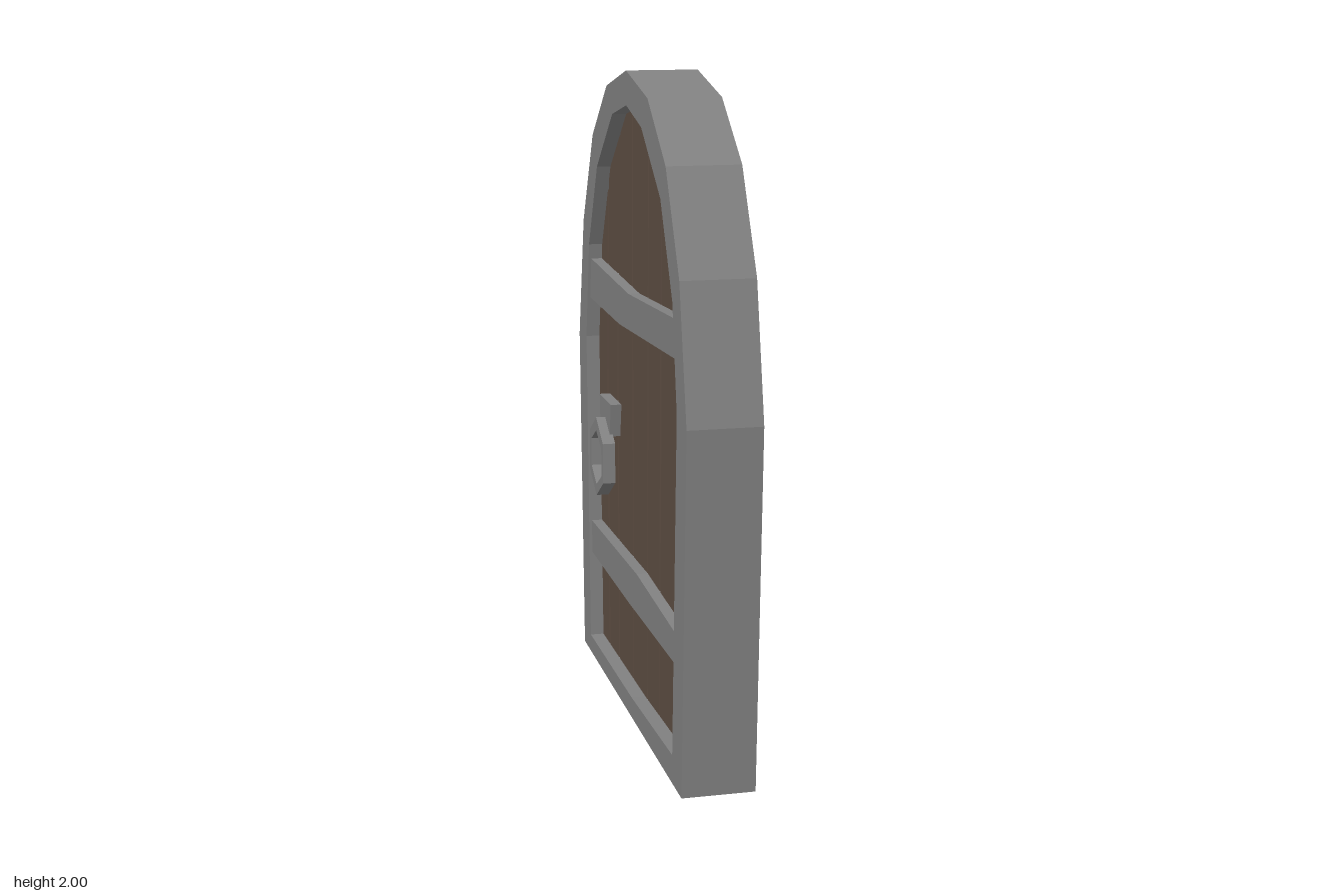
import * as THREE from 'three';

const stone = new THREE.MeshStandardMaterial({ color: 0x808080 });
stone.name = 'grey metal';
const wood = new THREE.MeshStandardMaterial({ color: 0x5d4d42 });
wood.name = 'brown wood';

// Slab with a [z, y] outline, spanning x0..x1
function slab(name, points, x0, x1, material, hole) {
  const toVectors = (list) => list.map(([z, y]) => new THREE.Vector2(z, y));
  const shape = new THREE.Shape(toVectors(points));
  if (hole) shape.holes.push(new THREE.Path(toVectors(hole)));
  const geometry = new THREE.ExtrudeGeometry(shape, { depth: x1 - x0, bevelEnabled: false });
  geometry.rotateY(-Math.PI / 2);
  geometry.translate(x1, 0, 0);
  const mesh = new THREE.Mesh(geometry, material);
  mesh.name = name;
  return mesh;
}

const hexagon = (z, y, rz, ry) => Array.from({ length: 6 }, (_, i) => {
  const a = Math.PI / 2 + (i * Math.PI) / 3;
  return [z + (rz / 0.866) * Math.cos(a), y + ry * Math.sin(a)];
});

// Height of the hidden plank ends, halfway inside the frame
const plankArch = [
  [0.69, 1.09], [0.625, 1.44], [0.47, 1.72], [0.24, 1.895], [0, 1.945],
  [-0.24, 1.895], [-0.47, 1.72], [-0.625, 1.44], [-0.69, 1.09],
];
function archHeight(z) {
  for (let i = 0; i < plankArch.length - 1; i++) {
    const [z0, y0] = plankArch[i], [z1, y1] = plankArch[i + 1];
    if (z <= z0 && z >= z1) return y0 + ((y1 - y0) * (z - z0)) / (z1 - z0);
  }
  return 1.09;
}

export function createModel() {
  const door = new THREE.Group();
  door.name = 'door';
  const half = 0.109, plankHalf = 0.065;

  // Arched frame
  const outer = [
    [0.70, 0], [0.748, 1.08], [0.663, 1.475], [0.503, 1.768], [0.282, 1.938], [0, 2],
    [-0.282, 1.938], [-0.503, 1.768], [-0.663, 1.475], [-0.748, 1.08], [-0.70, 0],
  ];
  const inner = [
    [-0.592, 0], [-0.63, 1.09], [-0.575, 1.405], [-0.437, 1.673], [-0.2, 1.857], [0, 1.898],
    [0.2, 1.85], [0.44, 1.672], [0.583, 1.405], [0.636, 1.1], [0.584, 0],
  ];
  door.add(slab('archFrame', [...outer, ...inner], -half, half, stone));

  // Hollow sill: an upright board and a top ledge on each side
  const sillTop = [[-0.6, 0.058], [0.05, 0.065], [0.6, 0.087]];
  const ledgeUnder = sillTop.map(([z, y]) => [z, y - 0.012]).reverse();
  for (const side of [-1, 1]) {
    const span = (a, b) => (side > 0 ? [a, b] : [-b, -a]);
    door.add(slab('sillBoard', [[-0.6, 0], ...sillTop, [0.6, 0]], ...span(half - 0.012, half), stone));
    door.add(slab('sillLedge', [...sillTop, ...ledgeUnder], ...span(plankHalf - 0.005, half - 0.012), stone));
  }

  // Uneven gaps between planks: centre z at each row, then at the arch
  const rows = [0.03, 0.4, 1.0, 1.3];
  const gaps = [
    { z: [0.467, 0.472, 0.481, 0.468, 0.456], w: [0.01, 0.012, 0.02, 0.012, 0.014] },
    { z: [0.245, 0.247, 0.259, 0.263, 0.277], w: [0.01, 0.012, 0.02, 0.016, 0.01] },
    { z: [0.08, 0.085, 0.09, 0.096, 0.106], w: [0.01, 0.01, 0.012, 0.012, 0.01] },
    { z: [-0.117, -0.117, -0.117, -0.117, -0.111], w: [0.01, 0.01, 0.01, 0.016, 0.01] },
    { z: [-0.334, -0.334, -0.339, -0.33, -0.282], w: [0.01, 0.016, 0.012, 0.02, 0.01] },
    { z: [-0.483, -0.487, -0.493, -0.484, -0.464], w: [0.01, 0.014, 0.016, 0.018, 0.014] },
  ];
  const gapEdge = (gap, sign) => gap.z.map((z, i) => {
    const edge = z + (sign * gap.w[i]) / 2;
    return [edge, i < 4 ? rows[i] : archHeight(edge)];
  });
  for (let i = 0; i <= gaps.length; i++) {
    const left = i === 0 ? [[0.62, 0.03], [0.69, 1.09]] : gapEdge(gaps[i - 1], -1);
    const right = i === gaps.length ? [[-0.62, 0.03], [-0.69, 1.09]] : gapEdge(gaps[i], 1);
    const zl = left[left.length - 1][0], zr = right[right.length - 1][0];
    const top = plankArch.filter(([z]) => z < zl - 1e-4 && z > zr + 1e-4);
    door.add(slab('plank', [...left, ...top, ...right.reverse()], -plankHalf, plankHalf, wood));
  }

  // Cross braces and ring handles on both faces
  const upper = [[0.61, 1.358], [-0.02, 1.33], [-0.59, 1.357], [-0.61, 1.225], [-0.15, 1.214], [0.61, 1.246]];
  const lower = [[0.605, 0.452], [0.085, 0.477], [-0.605, 0.46], [-0.6, 0.35], [-0.02, 0.35], [0.605, 0.36]];
  const plate = [[-0.286, 0.928], [-0.461, 0.928], [-0.45, 0.82], [-0.306, 0.82]];
  for (const side of [-1, 1]) {
    const span = (a, b) => (side > 0 ? [a, b] : [-b, -a]);
    door.add(slab('upperBrace', upper, ...span(0.05, 0.1), stone));
    door.add(slab('lowerBrace', lower, ...span(0.05, 0.1), stone));
    door.add(slab('handlePlate', plate, ...span(0.05, 0.1), stone));
    door.add(slab('handleRing', hexagon(-0.375, 0.74, 0.106, 0.13), ...span(0.09, 0.13), stone,
      hexagon(-0.375, 0.737, 0.079, 0.09)));
  }
  return door;
}
